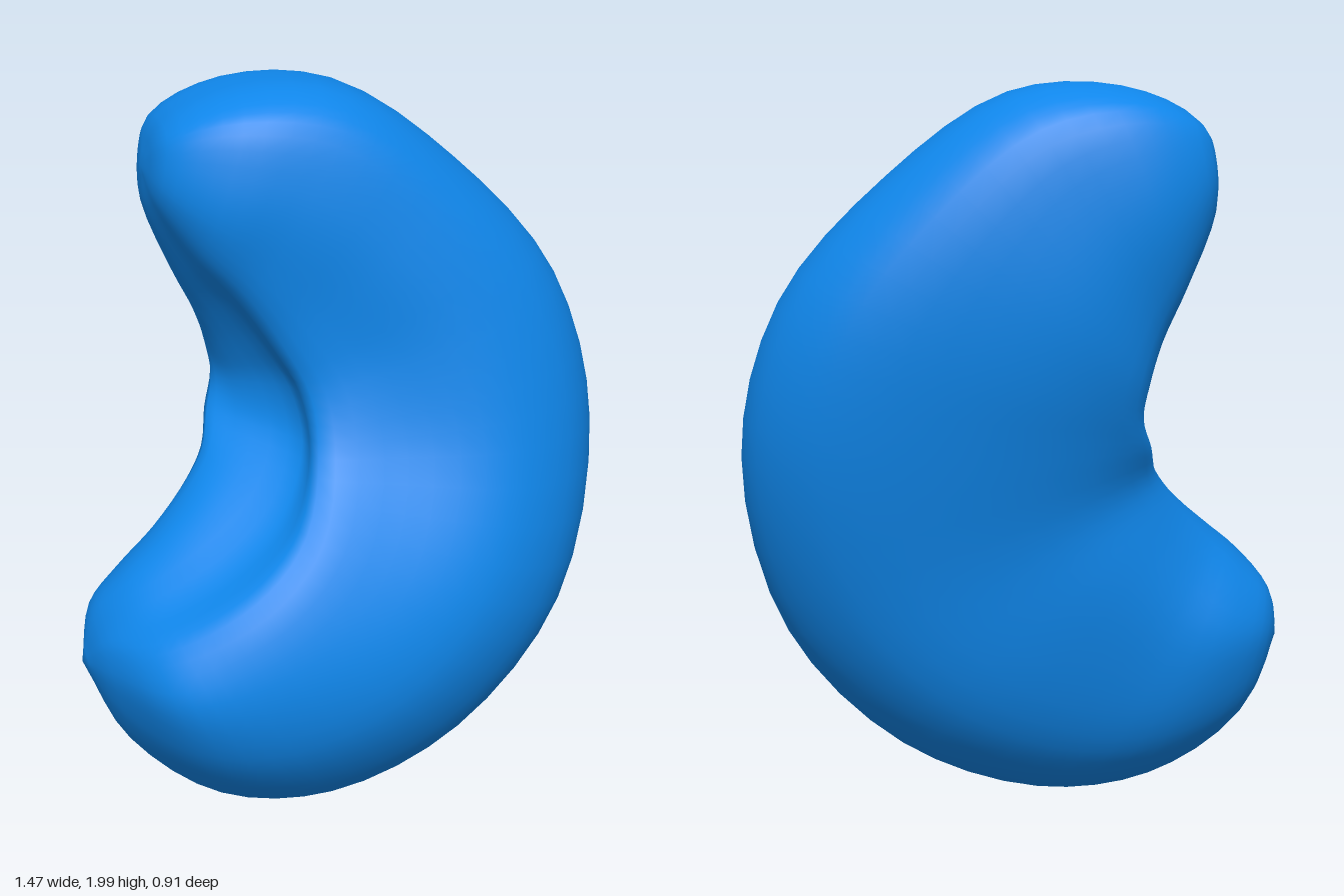
import * as THREE from 'three';
import { mergeVertices } from 'three/addons/utils/BufferGeometryUtils.js';

// Sections from the upper tip to the lower tip:
// inner x, inner y, outer x, outer y, centre z, half thickness
const SECTIONS = [
  [-0.47, 1.66, -0.43, 1.90, -0.19, 0.16],
  [-0.40, 1.48, -0.24, 1.985, -0.18, 0.25],
  [-0.34, 1.34, 0.04, 1.97, -0.17, 0.28],
  [-0.31, 1.23, 0.35, 1.76, -0.16, 0.295],
  [-0.30, 1.15, 0.63, 1.44, -0.13, 0.30],
  [-0.32, 1.07, 0.735, 1.03, -0.07, 0.31],
  [-0.36, 0.99, 0.63, 0.53, 0.03, 0.35],
  [-0.42, 0.92, 0.32, 0.17, 0.08, 0.37],
  [-0.52, 0.82, -0.06, 0.01, 0.10, 0.345],
  [-0.62, 0.72, -0.38, 0.04, 0.08, 0.30],
  [-0.70, 0.62, -0.62, 0.22, 0.02, 0.16],
];
const UPPER_TIP = new THREE.Vector3(-0.48, 1.78, -0.2);
const LOWER_TIP = new THREE.Vector3(-0.735, 0.47, 0);

// Section outlines as [inner-to-outer position, thickness]: round at the upper
// end, wedge-shaped at the lower end; the inner band slopes from a front crest
// through a shallow groove to a lip at the back
const PROFILES = [
  [[1, 0], [0.98, 0.5], [0.88, 0.88], [0.62, 1], [0.38, 0.95], [0.22, 0.75], [0.12, 0.4],
    [0, -0.15], [0.05, -0.65], [0.3, -0.95], [0.62, -1], [0.88, -0.85], [0.98, -0.45]],
  [[1, 0], [0.97, 0.4], [0.87, 0.75], [0.68, 0.98], [0.42, 0.9], [0.2, 0.75], [0.19, 0.35],
    [0.06, -0.25], [0, -0.62], [0.16, -0.9], [0.45, -1], [0.8, -0.88], [0.96, -0.45]],
  [[1, 0], [0.93, 0.28], [0.77, 0.62], [0.55, 0.92], [0.3, 1], [0.14, 0.72], [0.08, 0.3],
    [0, -0.2], [0.05, -0.65], [0.25, -0.95], [0.5, -0.92], [0.75, -0.7], [0.93, -0.32]],
];

function sectionLoop([ix, iy, ox, oy, z, h], i) {
  const mix = THREE.MathUtils.lerp;
  const t = THREE.MathUtils.clamp((i - 1) / 4, 0, 2);
  const p = Math.min(Math.floor(t), 1);
  return PROFILES[p].map(([u, w], k) => {
    const [u2, w2] = PROFILES[p + 1][k];
    const a = mix(u, u2, t - p);
    return new THREE.Vector3(mix(ix, ox, a), mix(iy, oy, a), z + h * mix(w, w2, t - p));
  });
}

function beanGeometry(rows, cols) {
  const loops = SECTIONS.map((s, i) => new THREE.CatmullRomCurve3(sectionLoop(s, i), true, 'centripetal'));

  // Run a smooth line lengthwise through every column of the sections
  const lines = [];
  for (let c = 0; c < cols; c++) {
    // Even steps between profile points keep the crest and lip aligned
    const points = loops.map((loop) => loop.getPoint(c / cols));
    lines.push(new THREE.CatmullRomCurve3([UPPER_TIP, ...points, LOWER_TIP], false, 'centripetal'));
  }

  const positions = [];
  const index = [];
  for (let r = 0; r <= rows; r++) {
    for (let c = 0; c < cols; c++) {
      positions.push(...lines[c].getPoint(r / rows).toArray());
      if (r === rows) continue;
      const a = r * cols + c;
      const b = r * cols + (c + 1) % cols;
      if (r > 0) index.push(a, b, a + cols);
      if (r < rows - 1) index.push(b, b + cols, a + cols);
    }
  }
  let geometry = new THREE.BufferGeometry();
  geometry.setAttribute('position', new THREE.Float32BufferAttribute(positions, 3));
  geometry.setIndex(index);
  geometry = mergeVertices(geometry, 1e-5);
  geometry.computeVertexNormals();
  return geometry;
}

export function createModel() {
  const group = new THREE.Group();
  group.name = 'bean';
  const material = new THREE.MeshStandardMaterial({ color: 0x0f86ea });
  const body = new THREE.Mesh(beanGeometry(48, 52), material);
  body.name = 'beanBody';
  group.add(body);
  return group;
}
